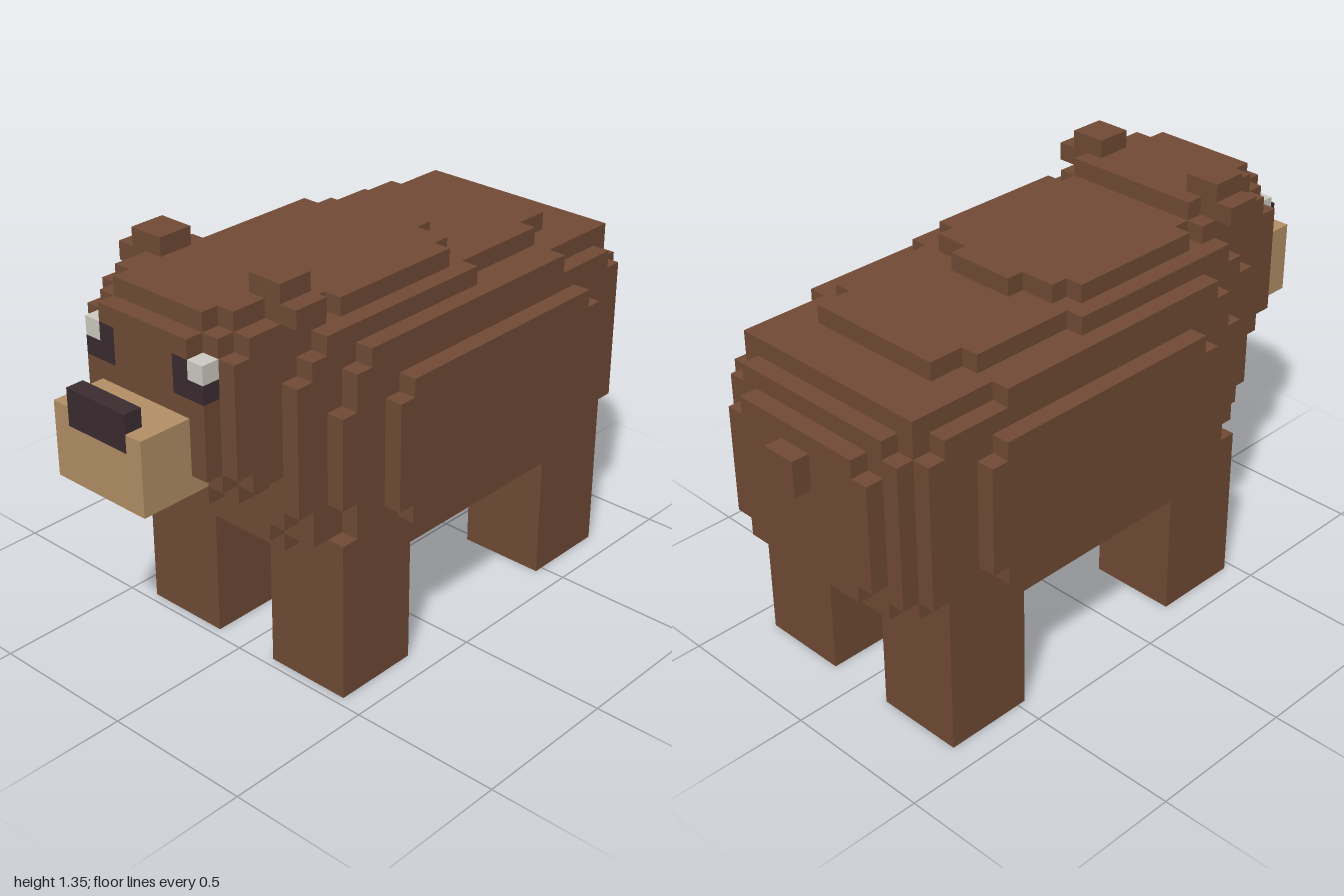
import * as THREE from 'three';

const V = 1 / 17; // one block

const mat = (name, color) => {
  const m = new THREE.MeshStandardMaterial({ color });
  m.name = name;
  return m;
};

export function createModel() {
  const fur = mat('brown fur', 0x714b36);
  const tan = mat('tan muzzle', 0xb39067);
  const dark = mat('dark nose and eyes', 0x3c2c30);
  const white = mat('eye white', 0xcecbc3);

  const model = new THREE.Group();
  model.name = 'bear';

  const part = (name, parent = model) => {
    const g = new THREE.Group();
    g.name = name;
    parent.add(g);
    return g;
  };

  // Box between two corners, measured in blocks
  const block = (parent, name, m, x0, x1, y0, y1, z0, z1) => {
    const mesh = new THREE.Mesh(new THREE.BoxGeometry((x1 - x0) * V, (y1 - y0) * V, (z1 - z0) * V), m);
    mesh.position.set((x0 + x1) * V / 2, (y0 + y1) * V / 2, (z0 + z1) * V / 2);
    mesh.name = name;
    parent.add(mesh);
  };
  // Box centred on x = 0
  const slab = (parent, name, m, w, ...r) => block(parent, name, m, -w, w, ...r);
  // Left and right copies
  const pair = (parent, name, m, x0, x1, ...r) => {
    block(parent, name + 'Left', m, x0, x1, ...r);
    block(parent, name + 'Right', m, -x1, -x0, ...r);
  };

  // Stepped body: half width, y range, z range
  const body = part('body');
  [
    // flank panels
    [8, 9, 17, -10, 4], [8, 10, 16, -11, 5],
    // main barrel
    [7, 7, 17, -13, 6], [7, 9, 17, -14, 7], [7, 11, 16, -14, 8],
    [7, 10, 18, -13, 7], [7, 10, 19, -9, 6],
    // chest
    [6, 8, 19, -14, 8], [6, 9, 19, -14, 9], [6, 11, 18, -14, 10],
    [5, 10, 19, -14, 10], [4, 9, 19, -14, 10], [4, 8, 19, -14, 9],
    // rump
    [6, 9, 17, -15, 0], [5, 8, 18, -15, 0], [4, 7, 19, -14, 0],
    [4, 9, 17, -16, 0], [5, 10, 16, -16, 0],
    // back
    [6, 18, 20, -3, 8], [5, 18, 20, -9, 8], [4, 18, 20, -11, 8],
    [5, 19, 21, -2, 6], [4, 19, 21, -3, 7], [2, 19, 21, -4, 7],
    // belly
    [5, 6, 7, -9, 4],
  ].forEach(([w, ...r]) => slab(body, 'bodyLayer', fur, w, ...r));
  slab(model, 'tail', fur, 1, 14, 16, -17, -16);

  // Legs
  const legs = part('legs');
  pair(legs, 'frontLeg', fur, 2, 7, 0, 9, 3, 8);
  pair(legs, 'backLeg', fur, 2, 7, 0, 9, -13, -8);

  // Head
  const head = part('head');
  [
    [5, 14, 20, 7, 13], [5, 13, 21, 7, 12], [4, 13, 21, 7, 13],
    [4, 12, 22, 7, 12], [3, 12, 22, 7, 13],
    // face layer around the eyes
    [4, 14, 18, 13, 14], [2, 18, 20, 13, 14], [3, 20, 21, 13, 14],
  ].forEach(([w, ...r]) => slab(head, 'headLayer', fur, w, ...r));

  // Ears
  const ears = part('ears', head);
  pair(ears, 'earTop', fur, 3, 5, 22, 23, 8, 10);
  pair(ears, 'earSide', fur, 4, 6, 21, 22, 8, 10);

  // Eyes
  const eyes = part('eyes', head);
  pair(eyes, 'eyeLower', dark, 2, 4, 18, 19, 13, 14);
  pair(eyes, 'eyeInner', dark, 2, 3, 19, 20, 13, 14);
  pair(eyes, 'eyeHighlight', white, 3, 4, 19, 20, 13, 14);

  // Muzzle, notched for the nose
  const muzzle = part('muzzle', head);
  slab(muzzle, 'snout', tan, 3, 13, 17, 14, 16);
  slab(muzzle, 'chin', tan, 3, 13, 14, 13, 14);
  slab(muzzle, 'snoutFront', tan, 3, 13, 16, 16, 17);
  pair(muzzle, 'snoutCorner', tan, 2, 3, 16, 17, 16, 17);
  slab(muzzle, 'nose', dark, 2, 16, 18, 16, 17);

  return model;
}
